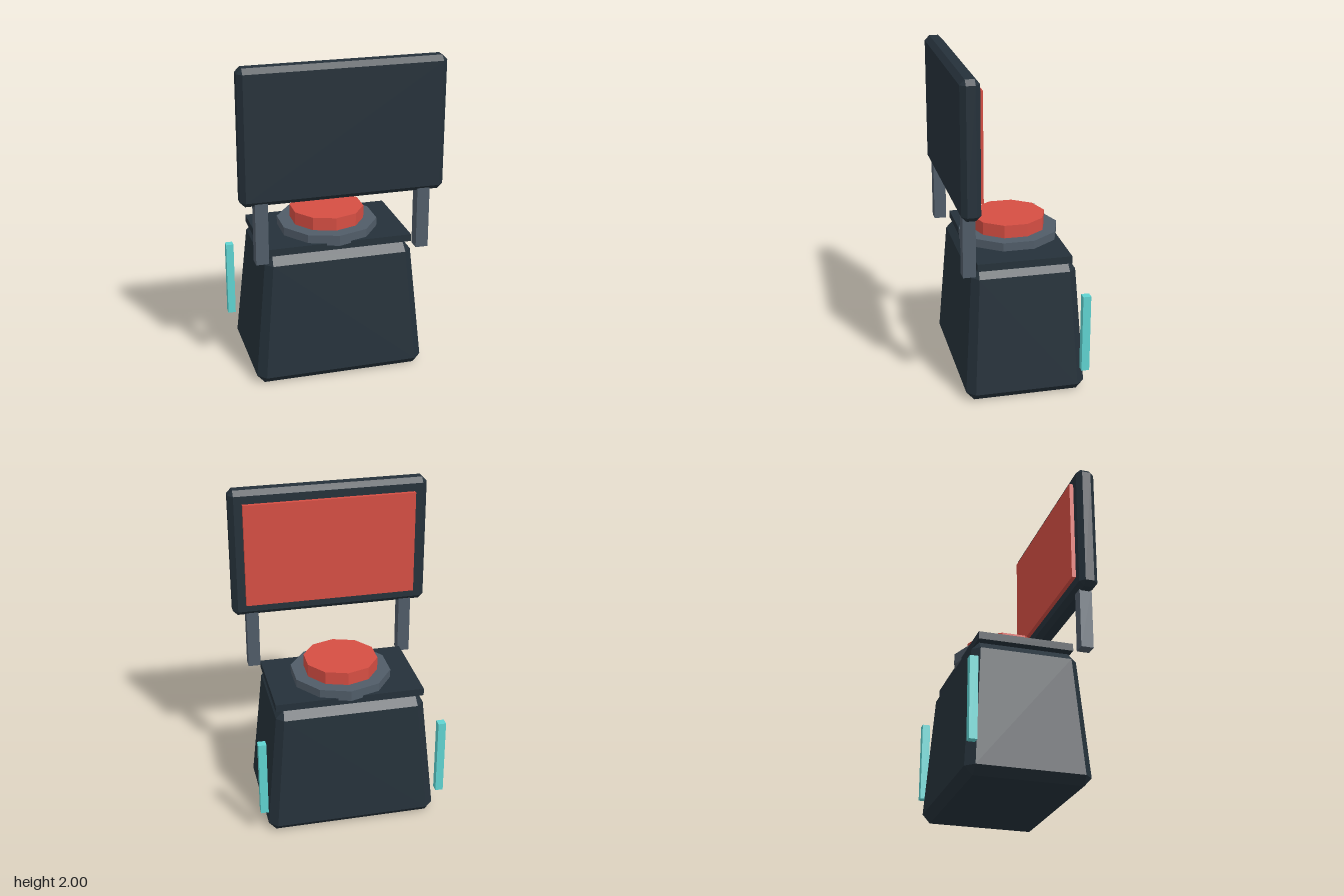
import * as THREE from 'three';
import { ConvexGeometry } from 'three/addons/geometries/ConvexGeometry.js';

const mat = (name, color) => {
  const m = new THREE.MeshStandardMaterial({ color });
  m.name = name;
  return m;
};

// Box with chamfered edges, centred; scaleAt(y) narrows it in x and z
function chamferBox(w, h, d, c, scaleAt = () => 1) {
  const points = [];
  const [a, b, e] = [w / 2, h / 2, d / 2];
  for (const sx of [-1, 1]) for (const sy of [-1, 1]) for (const sz of [-1, 1]) {
    for (const [x, y, z] of [[a, b - c, e - c], [a - c, b, e - c], [a - c, b - c, e]]) {
      const s = scaleAt(sy * y);
      points.push(new THREE.Vector3(sx * x * s, sy * y, sz * z * s));
    }
  }
  return new ConvexGeometry(points);
}

// Faceted ten-sided disc as a flat-shaded solid
function disc(radius, height) {
  const geometry = new THREE.CylinderGeometry(radius, radius, height, 10).toNonIndexed();
  geometry.computeVertexNormals();
  return geometry;
}

export function createModel() {
  const model = new THREE.Group();
  model.name = 'buttonPedestal';

  const dark = mat('dark slate', 0x25313a);
  const grey = mat('steel grey', 0x505c68);
  const red = mat('signal red', 0xd54e43);
  const cyan = mat('light cyan', 0x5fd3d1);

  const add = (name, geometry, material, x, y, z) => {
    const mesh = new THREE.Mesh(geometry, material);
    mesh.name = name;
    mesh.position.set(x, y, z);
    model.add(mesh);
  };
  const box = (w, h, d) => new THREE.BoxGeometry(w, h, d);
  const midZ = -0.016;

  // Tapered pedestal and its top plate
  add('pedestal', chamferBox(1.05, 0.82, 0.73, 0.05, y => 1.009 - 0.186 * (y + 0.41)), dark, 0, 0.41, midZ);
  add('topPlate', box(0.91, 0.045, 0.57), dark, 0, 0.846, midZ);

  // Button and its collar
  add('buttonCollar', disc(0.309, 0.065), grey, 0, 0.8875, midZ);
  add('button', disc(0.228, 0.09), red, 0, 0.955, midZ - 0.001);

  // Display panel with the screen on its rear face
  add('displayPanel', chamferBox(1.22, 0.81, 0.114, 0.03), dark, 0, 1.595, 0.327);
  add('screen', box(1.06, 0.65, 0.03), red, 0, 1.595, 0.26);

  // Mirrored posts and light bars
  for (const side of [1, -1]) {
    const label = side > 0 ? 'left' : 'right';
    add(label + 'Post', box(0.076, 0.39, 0.076), grey, side * 0.489, 1.02, 0.33);
    add(label + 'LightBar', box(0.048, 0.486, 0.048), cyan, side * 0.555, 0.412, -0.361);
  }
  return model;
}
